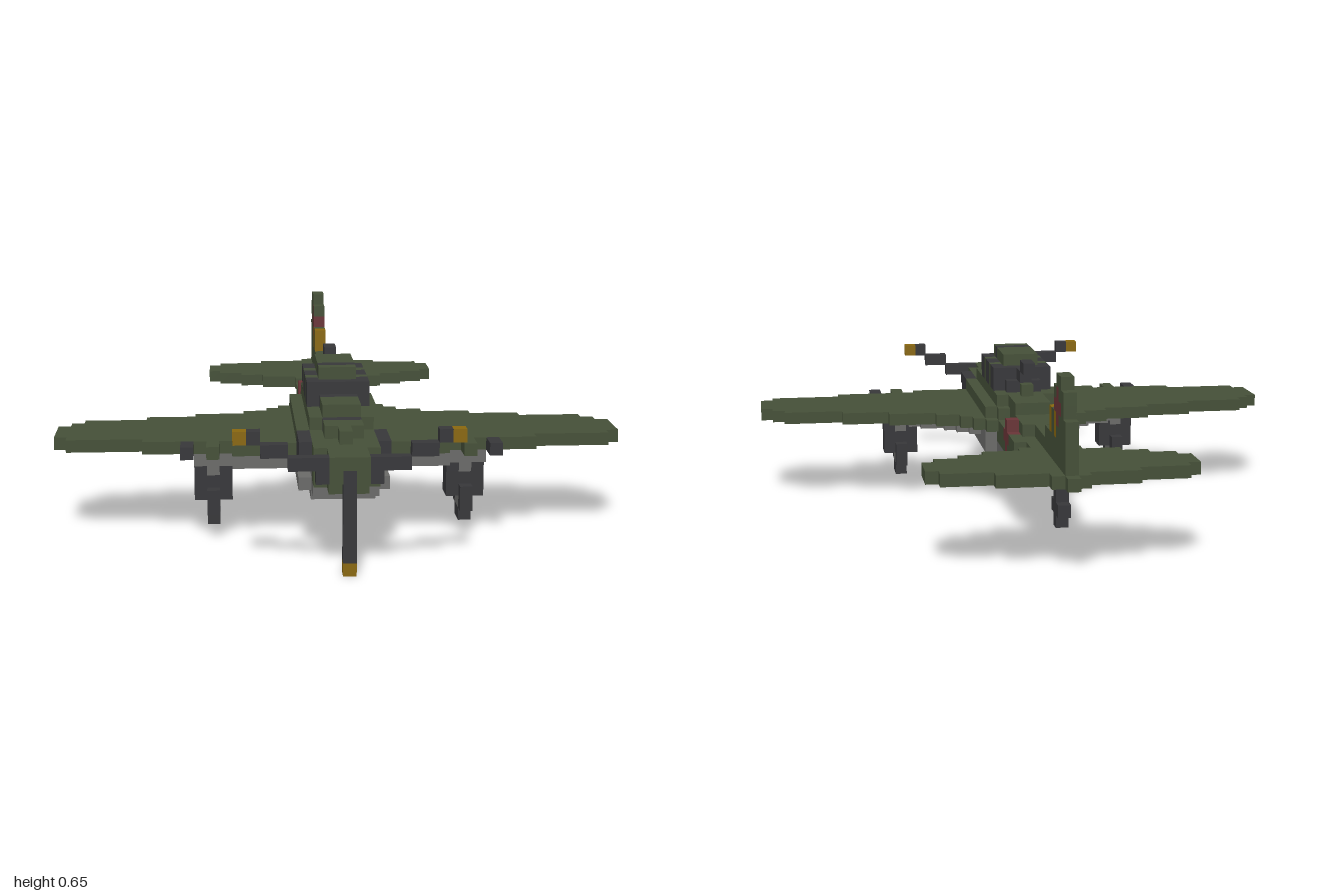
import * as THREE from 'three';

const U = 1 / 23; // edge of one block

export function createModel() {
  const mat = (name, color) => {
    const m = new THREE.MeshStandardMaterial({ color });
    m.name = name;
    return m;
  };
  const green = mat('olive green', 0x455038);
  const dark = mat('charcoal', 0x37373a);
  const gray = mat('belly gray', 0x6b6b69);
  const red = mat('dull red', 0x6a3437);
  const yellow = mat('ochre', 0x8a680f);

  // Block grid: later fills replace earlier ones, so no two parts overlap.
  const cells = new Map();
  const parts = new Map();
  const key = (x, y, z) => x + ',' + y + ',' + z;
  const fill = (name, material, x0, x1, y0, y1, z0, z1) => {
    const part = name + '|' + material.name;
    parts.set(part, { name, material });
    for (let x = x0; x <= x1; x++)
      for (let y = y0; y < y1; y++)
        for (let z = z0; z < z1; z++) cells.set(key(x, y, z), { x, y, z, part });
  };
  // centred bar of half width h, and a mirrored pair
  const mid = (n, m, h, ...r) => fill(n, m, -h, h, ...r);
  const pair = (n, m, a, b, ...r) => {
    fill(n, m, a, b, ...r);
    fill(n, m, -b, -a, ...r);
  };

  // Belly
  [[3, 0, 17], [2, 17, 19], [2, -8, 0], [1, -13, -8]].forEach(([h, a, b]) => mid('belly', gray, h, 5, 6, a, b));
  mid('belly', gray, 2, 4, 5, -3, 16);
  mid('belly', gray, 1, 4, 5, -8, -3);
  mid('belly', gray, 3, 6, 7, 0, 14);
  mid('belly', gray, 2, 6, 7, 14, 18);
  mid('belly', gray, 1, 6, 7, -17, -10);

  // Gray underwing centre section, row by row from the rear
  [4, 5, 6, 8, 9, 10, 11, 11, 11, 11, 8].forEach((h, i) => mid('underwing', gray, h, 6, 7, 3 + i, 4 + i));

  // Wing and tailplane outlines, half widths from rear to front
  [3, 4, 5, 7, 11, 15, 20, 21, 22, 22, 22, 22, 21, 15, 8].forEach((h, i) => mid('wing', green, h, 7, 8, i - 1, i));
  [0, 1, 5, 9, 10, 10, 10, 9, 7, 5, 2].forEach((h, i) => mid('tailplane', green, h, 7, 8, i - 23, i - 22));

  // Rear fuselage
  mid('fuselage', green, 2, 6, 8, -10, 0);
  mid('fuselage', green, 1, 7, 8, -13, -10);
  mid('fuselage', green, 0, 8, 9, -13, -8);
  mid('fuselage', green, 1, 8, 9, -8, -4);
  mid('fuselage', green, 1, 8, 10, -4, 0);
  mid('fuselage', green, 2, 8, 9, -1, 0);
  mid('fuselage', green, 0, 10, 11, -1, 0);

  // Middle fuselage and nose
  mid('fuselage', green, 3, 8, 9, 0, 14);
  mid('fuselage', green, 2, 9, 10, 0, 14);
  mid('fuselage', green, 1, 10, 11, 10, 14);
  mid('nose', green, 2, 7, 9, 14, 20);
  mid('nose', green, 2, 6, 7, 18, 20);
  mid('nose', green, 1, 9, 10, 14, 17);
  mid('nose', green, 0, 9, 10, 17, 19);
  mid('nose', green, 1, 6, 8, 20, 22);
  mid('nose', green, 1, 8, 9, 20, 22);
  mid('intake', dark, 1, 9, 10, 14, 15);

  // Exhausts along the nose
  pair('exhaust', dark, 3, 3, 7, 8, 13, 17);
  pair('exhaust', dark, 3, 3, 8, 9, 14, 18);

  // Canopy: frame, windows and roof
  mid('canopyFrame', green, 2, 10, 12, 2, 10);
  [[2, 4], [5, 7], [8, 10]].forEach(([a, b]) => pair('canopyWindow', dark, 2, 2, 10, 12, a, b));
  mid('windscreen', dark, 2, 11, 12, 9, 10);
  mid('windscreen', dark, 1, 10, 11, 10, 11);
  mid('rearWindow', dark, 2, 10, 12, 2, 3);
  mid('rearWindow', dark, 1, 10, 11, 1, 2);
  mid('canopyRoof', green, 1, 12, 13, 3, 9);
  mid('roofWindow', dark, 1, 12, 13, 7, 8);

  // Rear gun
  mid('rearGun', dark, 0, 11, 12, 0, 2);
  mid('rearGun', dark, 0, 12, 13, -2, 0);

  // Fin: [rear, front] of each layer
  [[-22, -13], [-22, -13], [-22, -15], [-22, -15], [-21, -17], [-21, -17], [-20, -18]]
    .forEach(([a, b], i) => mid('fin', green, 0, 8 + i, 9 + i, a, b));
  mid('finStripe', yellow, 0, 10, 12, -16, -15);
  mid('finStripe', yellow, 0, 10, 12, -18, -17);
  mid('finCross', red, 0, 11, 14, -19, -18);
  mid('finCross', red, 0, 12, 13, -20, -17);

  // Red crosses on the fuselage sides
  pair('sideCross', red, 2, 2, 6, 9, -6, -5);
  pair('sideCross', red, 2, 2, 7, 8, -7, -4);

  // Wing guns
  pair('wingGun', dark, 12, 12, 7, 8, 13, 15);
  pair('wingGunShroud', green, 10, 10, 7, 8, 13, 15);

  // Main wheels with struts and doors
  pair('wheel', dark, 10, 10, 1, 5, 10, 12);
  pair('wheel', dark, 10, 10, 2, 4, 9, 13);
  pair('wheelHub', gray, 10, 10, 2, 4, 10, 12);
  pair('gearStrut', gray, 10, 10, 5, 6, 10, 12);
  for (const x of [9, 11]) pair('gearDoor', dark, x, x, 3, 6, 10, 12);

  // Tail wheel
  mid('tailWheel', dark, 0, 3, 6, -18, -17);
  mid('tailWheel', dark, 0, 4, 5, -19, -16);
  mid('tailWheelStrut', dark, 0, 6, 7, -18, -16);

  // Three-bladed propeller with bright tips
  mid('propellerHub', green, 1, 7, 9, 22, 23);
  mid('propellerBlade', dark, 0, 1, 8, 22, 23);
  mid('propellerTip', yellow, 0, 0, 1, 22, 23);
  pair('propellerBlade', dark, 2, 2, 7, 9, 22, 23);
  pair('propellerBlade', dark, 3, 4, 8, 9, 22, 23);
  pair('propellerBlade', dark, 5, 6, 9, 10, 22, 23);
  pair('propellerBlade', dark, 7, 7, 10, 11, 22, 23);
  pair('propellerTip', yellow, 8, 8, 10, 11, 22, 23);

  // Skin: one square for every block side that is open to the air
  const sides = [];
  for (let axis = 0; axis < 3; axis++) for (const s of [1, -1]) {
    const n = [0, 0, 0], a = [0, 0, 0], b = [0, 0, 0];
    n[axis] = s;
    a[(axis + 1) % 3] = s;
    b[(axis + 2) % 3] = 1;
    sides.push({ n, a, b });
  }
  const data = new Map([...parts.keys()].map((p) => [p, { pos: [], nor: [] }]));
  const corners = [[-1, -1], [1, -1], [1, 1], [-1, -1], [1, 1], [-1, 1]];
  for (const { x, y, z, part } of cells.values()) {
    const c = [x, y + 0.5, z + 0.5];
    for (const { n, a, b } of sides) {
      if (cells.has(key(x + n[0], y + n[1], z + n[2]))) continue;
      const d = data.get(part);
      for (const [p, q] of corners) {
        for (let i = 0; i < 3; i++) d.pos.push((c[i] + (n[i] + a[i] * p + b[i] * q) / 2) * U);
        d.nor.push(...n);
      }
    }
  }

  const group = new THREE.Group();
  group.name = 'airplane';
  for (const [id, { name, material }] of parts) {
    const { pos, nor } = data.get(id);
    if (!pos.length) continue;
    const geo = new THREE.BufferGeometry();
    geo.setAttribute('position', new THREE.Float32BufferAttribute(pos, 3));
    geo.setAttribute('normal', new THREE.Float32BufferAttribute(nor, 3));
    const mesh = new THREE.Mesh(geo, material);
    mesh.name = name;
    group.add(mesh);
  }
  return group;
}
